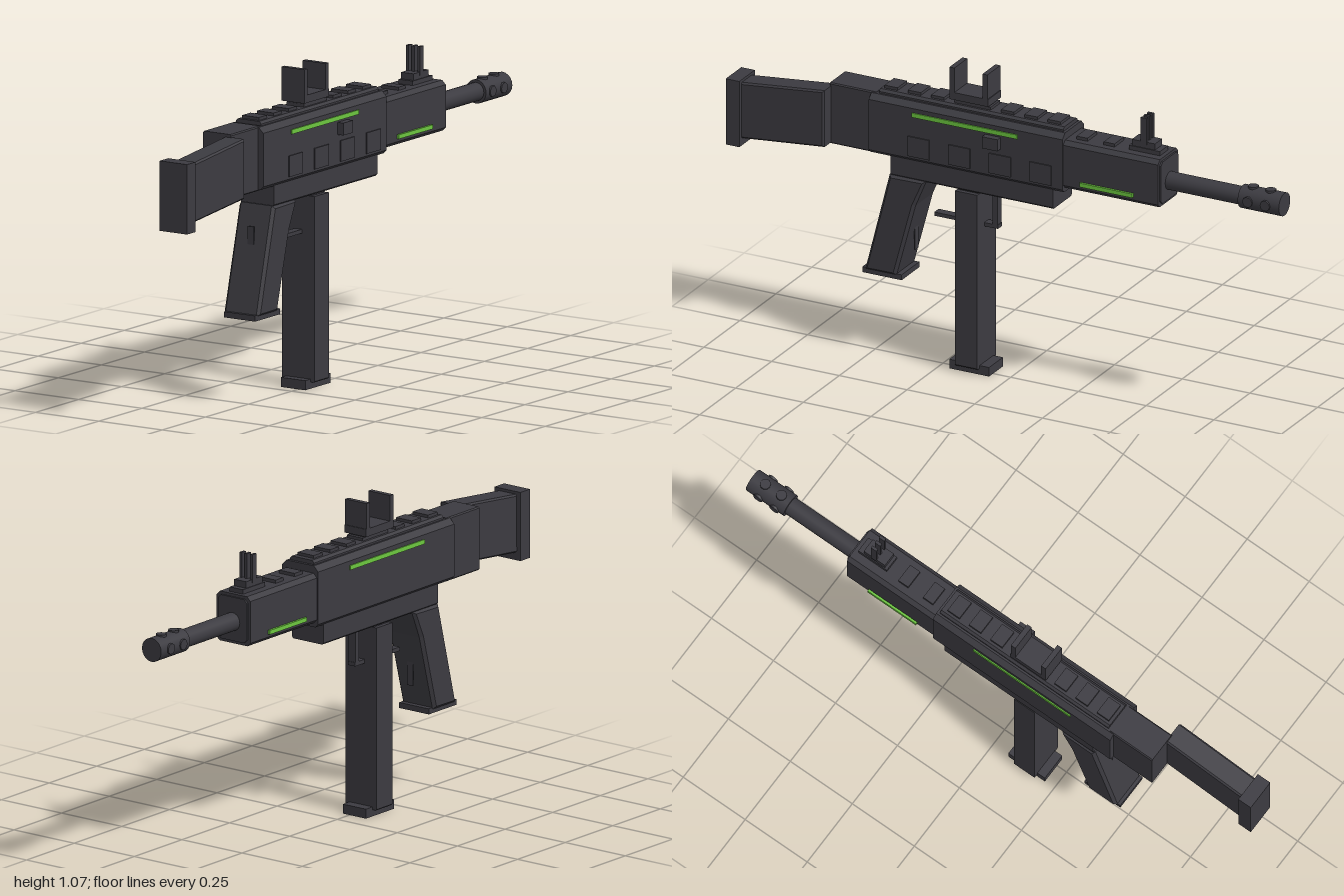
import * as THREE from 'three';

export function createModel() {
  const root = new THREE.Group();
  const body = new THREE.MeshStandardMaterial({ color: 0x3c3b41 });
  body.name = 'charcoal';
  const glow = new THREE.MeshStandardMaterial({ color: 0x6cc63f });
  glow.name = 'green';
  const CX = -0.02; // centre line of the body

  function add(name, geo, mat = body) {
    const mesh = new THREE.Mesh(geo, mat);
    mesh.name = name;
    root.add(mesh);
    return mesh;
  }
  // Box given by its limits
  function box(name, x0, x1, y0, y1, z0, z1, mat) {
    const g = new THREE.BoxGeometry(x1 - x0, y1 - y0, z1 - z0);
    g.translate((x0 + x1) / 2, (y0 + y1) / 2, (z0 + z1) / 2);
    return add(name, g, mat);
  }
  function polygon(pts) {
    return new THREE.Shape(pts.map(([a, b]) => new THREE.Vector2(a, b)));
  }
  // Box along z with chamfered long edges (t at the top, b at the bottom)
  function chamfered(name, x0, x1, y0, y1, z0, z1, t, b) {
    const g = new THREE.ExtrudeGeometry(polygon([
      [x0 + b, y0], [x1 - b, y0], [x1, y0 + b], [x1, y1 - t],
      [x1 - t, y1], [x0 + t, y1], [x0, y1 - t], [x0, y0 + b],
    ]), { depth: z1 - z0, bevelEnabled: false });
    g.translate(0, 0, z0);
    return add(name, g);
  }
  // Side outline of [z, y] points, spread from x0 to x1 with small bevels
  function profile(name, pts, x0, x1, bevel = 0.006) {
    const g = new THREE.ExtrudeGeometry(polygon(pts.map(([z, y]) => [-z, y])), {
      depth: x1 - x0 - 2 * bevel, bevelEnabled: bevel > 0,
      bevelSize: bevel, bevelOffset: -bevel, bevelThickness: bevel, bevelSegments: 1,
    });
    g.rotateY(Math.PI / 2);
    g.translate(x0 + bevel, 0, 0);
    return add(name, g);
  }
  // Cylinder along z
  function rod(name, r, z0, z1) {
    const g = new THREE.CylinderGeometry(r, r, z1 - z0, 20);
    g.rotateX(Math.PI / 2);
    g.translate(CX, 0.81, (z0 + z1) / 2);
    return add(name, g);
  }

  // Stock, offset from the body
  box('buttPlate', -0.01, 0.098, 0.665, 0.898, 0.95, 1);
  profile('stock', [[0.645, 0.72], [0.645, 0.92], [0.955, 0.888], [0.955, 0.69]], 0.005, 0.085);
  chamfered('rearBlock', -0.077, 0.034, 0.715, 0.93, 0.48, 0.65, 0.004, 0.004);

  // Receiver and handguard
  chamfered('receiver', -0.095, 0.055, 0.72, 0.928, -0.22, 0.495, 0.018, 0.012);
  chamfered('receiverTop', -0.07, 0.03, 0.92, 0.942, -0.21, 0.47, 0.008, 0);
  chamfered('lowerReceiver', -0.086, 0.046, 0.652, 0.73, -0.18, 0.42, 0, 0.006);
  chamfered('handguard', -0.09, 0.05, 0.735, 0.903, -0.57, -0.21, 0.014, 0.012);
  chamfered('handguardCap', -0.08, 0.04, 0.745, 0.893, -0.576, -0.56, 0.012, 0.012);

  // Top rail teeth
  for (let i = 0; i < 8; i++) {
    const z = 0.435 - i * 0.086;
    box('railTooth', -0.053, 0.013, 0.935, 0.952, z - 0.024, z + 0.024);
  }
  for (const z of [-0.27, -0.37]) box('handguardTooth', -0.053, 0.013, 0.9, 0.914, z - 0.02, z + 0.02);

  // Barrel and muzzle
  rod('barrel', 0.031, -0.86, -0.55);
  rod('muzzle', 0.04, -1, -0.848);
  for (const z of [-0.885, -0.95]) {
    for (const a of [0, Math.PI / 2, -Math.PI / 2]) {
      const g = new THREE.CylinderGeometry(0.018, 0.018, 0.012, 10);
      g.translate(0, 0.038, 0);
      g.rotateZ(a);
      g.translate(CX, 0.81, z);
      add('muzzlePort', g);
    }
  }

  // Front sight with three prongs
  box('frontSightFoot', -0.048, 0.008, 0.895, 0.918, -0.555, -0.44);
  box('frontSightBase', -0.045, 0.005, 0.91, 0.94, -0.535, -0.45);
  for (const x of [-0.042, CX, 0.002]) {
    box('frontSightProng', x - 0.005, x + 0.005, 0.93, 1.025, -0.505, -0.483);
  }

  // Rear sight with two upright plates
  box('rearSightMount', -0.052, 0.014, 0.94, 0.965, 0.08, 0.2);
  box('rearSightBase', -0.065, 0.025, 0.957, 0.983, 0.07, 0.213);
  for (const z of [0.073, 0.195]) box('rearSightPlate', -0.065, 0.025, 0.96, 1.07, z, z + 0.018);

  // Grip with base and thin fins
  profile('grip', [[0.425, 0.655], [0.29, 0.655], [0.33, 0.56], [0.4, 0.3], [0.515, 0.3]], -0.09, 0.05, 0.01);
  box('gripBase', -0.08, 0.043, 0.287, 0.306, 0.38, 0.525);
  box('gripFinFront', CX - 0.012, CX + 0.012, 0.38, 0.5, 0.357, 0.361);
  box('gripFinRear', CX - 0.012, CX + 0.012, 0.48, 0.585, 0.454, 0.458);

  // Magazine
  chamfered('magazine', -0.085, 0.045, 0.025, 0.645, 0.1, 0.182, 0, 0.004);
  box('magazineNeck', -0.07, 0.03, 0.63, 0.66, 0.105, 0.177);
  box('magazineFloor', -0.068, 0.028, 0.003, 0.035, 0.065, 0.212);

  // Trigger guard
  box('triggerGuardBar', -0.035, -0.005, 0.517, 0.53, 0.05, 0.285);
  box('triggerGuardPost', -0.035, -0.005, 0.517, 0.66, 0.052, 0.07);

  // Right side details: charging knob and shallow panels
  box('chargingKnob', 0.05, 0.078, 0.832, 0.873, 0.008, 0.065);
  for (const z of [-0.15, 0, 0.15, 0.3]) box('sidePanel', 0.05, 0.059, 0.74, 0.81, z - 0.03, z + 0.05);

  // Glowing stripes on both sides
  const stripes = [[0.055, -0.095, 0.88, 0.895, -0.055, 0.335], [0.056, -0.096, 0.758, 0.772, -0.48, -0.285]];
  for (const [xr, xl, y0, y1, z0, z1] of stripes) {
    box('stripeRight', xr - 0.004, xr + 0.004, y0, y1, z0, z1, glow);
    box('stripeLeft', xl - 0.004, xl + 0.004, y0, y1, z0, z1, glow);
  }
  return root;
}
